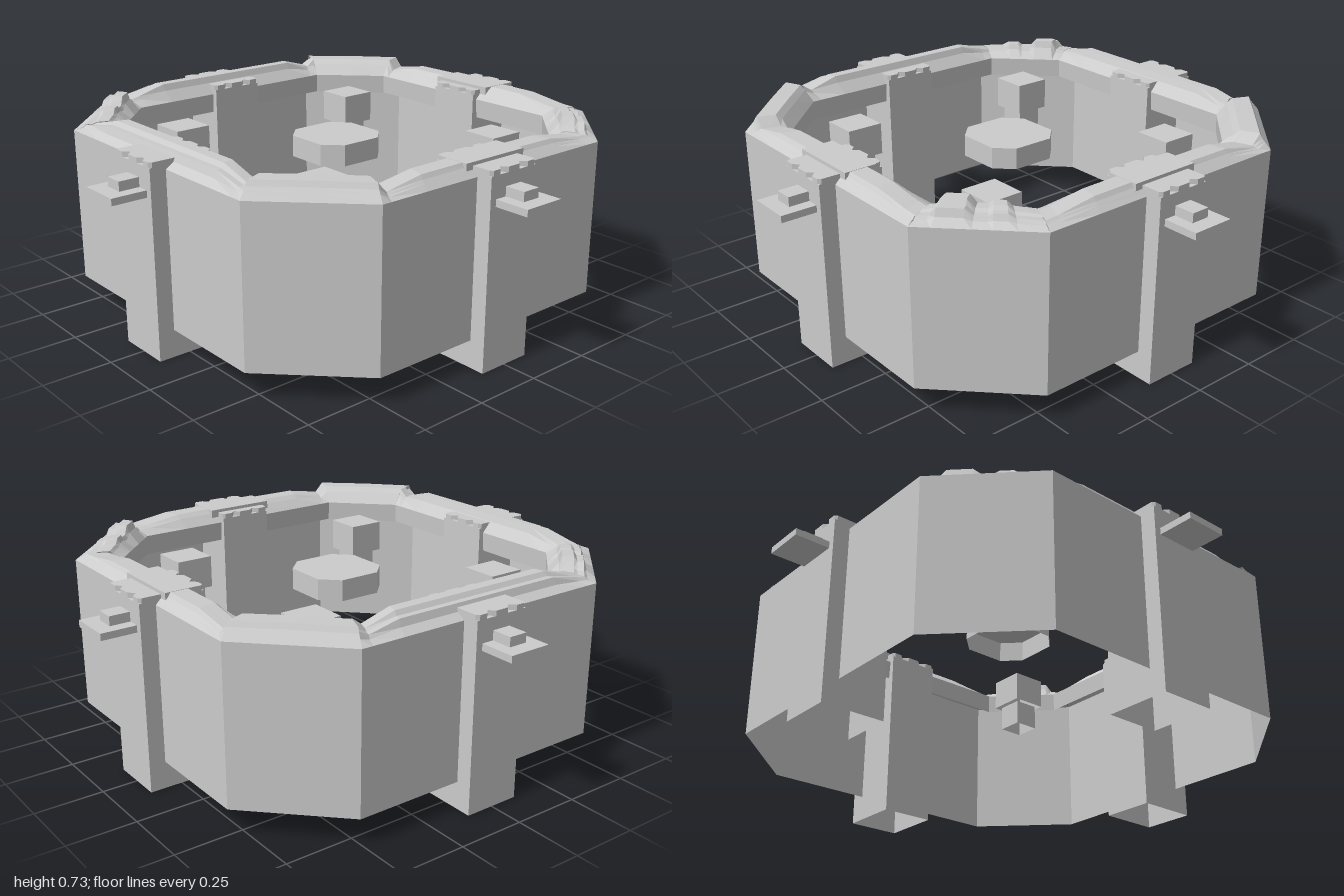
import * as THREE from 'three';

const material = new THREE.MeshStandardMaterial({ color: 0xcccccc, flatShading: true, side: THREE.DoubleSide });

// Octagon corners [x, z], starting at the front edge
const corners = [
  [-0.51, 0.81], [0.51, 0.81], [0.81, 0.51], [0.81, -0.51],
  [0.51, -0.81], [-0.51, -0.81], [-0.81, -0.51], [-0.81, 0.51],
];

// Trim cross-sections: [inset from the wall, height]
const profiles = {
  plain: [[0, 0.67], [0.02, 0.69], [0.03, 0.7], [0.04, 0.715], [0.07, 0.715], [0.105, 0.715], [0.125, 0.7], [0.16, 0.665], [0.155, 0.59]],
  rail: [[0, 0.67], [0.03, 0.69], [0.04, 0.715], [0.063, 0.715], [0.075, 0.73], [0.115, 0.73], [0.125, 0.705], [0.16, 0.665], [0.155, 0.59]],
};

// Trim stations along an edge: [t, height scale]
const sideRun = [[0, 1.2], [0.035, 0.4], [0.18, 0.95], [0.5, 1], [0.8, 0.95], [0.95, 0.5], [1, 0.45]];
const railRun = [[0, 0.9], [0.04, 0.45], [0.16, 1], [0.5, 1], [0.84, 1], [0.96, 0.5], [1, 0.35]];
const raisedRun = [[0, 1.2], [0.5, 1.25], [1, 1.2]];
const bumpRun = [[0, 0.4], [0.1, 0.5], [0.16, 1.08], [0.38, 1.08], [0.45, 0.6], [0.56, 0.6], [0.6, 0.8], [0.72, 0.8], [0.78, 0.5], [1, 0.4]];
const reverse = (run) => run.map(([t, h]) => [1 - t, h]).reverse();

const edges = [
  ['plain', sideRun], ['rail', bumpRun], ['plain', reverse(sideRun)], ['plain', raisedRun],
  ['rail', railRun], ['rail', bumpRun], ['rail', reverse(railRun)], ['plain', raisedRun],
];

function add(parent, geometry, name, x = 0, y = 0, z = 0) {
  const mesh = new THREE.Mesh(geometry, material);
  mesh.name = name;
  mesh.position.set(x, y, z);
  parent.add(mesh);
  return mesh;
}

// Skin a list of equally long rows of points
function loft(rows) {
  const n = rows[0].length, index = [];
  for (let i = 0; i < rows.length - 1; i++) {
    for (let j = 0; j < n - 1; j++) {
      const a = i * n + j, b = a + n;
      index.push(a, b, a + 1, b, b + 1, a + 1);
    }
  }
  const g = new THREE.BufferGeometry();
  g.setAttribute('position', new THREE.Float32BufferAttribute(rows.flat(2), 3));
  g.setIndex(index);
  const flat = g.toNonIndexed();
  flat.computeVertexNormals();
  return flat;
}

// Inward mitre direction at a corner
const mitre = (c) => c.map((v) => -Math.sign(v) * (Math.abs(v) > 0.6 ? 1 : 0.414));

function trimEdge(k) {
  const [kind, run] = edges[k];
  const a = corners[k], b = corners[(k + 1) % 8];
  const ma = mitre(a), mb = mitre(b);
  const mix = THREE.MathUtils.lerp;
  return loft(run.map(([t, h]) => profiles[kind].map(([inset, y]) => [
    mix(a[0], b[0], t) + inset * mix(ma[0], mb[0], t),
    y > 0.67 ? 0.67 + (y - 0.67) * h : y,
    mix(a[1], b[1], t) + inset * mix(ma[1], mb[1], t),
  ])));
}

// Box without its bottom face
function openBox(w, h, d) {
  const g = new THREE.BoxGeometry(w, h, d);
  const index = Array.from(g.index.array);
  index.splice(18, 6);
  g.setIndex(index);
  return g;
}

// Post cap outline with clipped corners and V notches on the short edges
function capGeometry() {
  const w = 0.105, d = 0.12, c = 0.01;
  const edge = [[-w + c, -d], [-0.065, -d], [-0.045, -d + 0.02], [-0.025, -d], [0.025, -d], [0.045, -d + 0.02], [0.065, -d], [w - c, -d], [w, -d + c]];
  const pts = [...edge, ...edge.map(([x, y]) => [-x, -y])].map(([x, y]) => new THREE.Vector2(x, y));
  // remaining clipped corners
  pts.splice(9, 0, new THREE.Vector2(w, d - c));
  pts.push(new THREE.Vector2(-w, -d + c));
  const g = new THREE.ExtrudeGeometry(new THREE.Shape(pts), { depth: 0.018, bevelEnabled: false });
  return g.rotateX(-Math.PI / 2);
}

export function createModel() {
  const model = new THREE.Group();
  model.name = 'octagonalEnclosure';

  // Thin wall and the hollow trim on top of it
  const loop = [...corners, corners[0]];
  add(model, loft(loop.map(([x, z]) => [[x, 0.1, z], [x, 0.67, z]])), 'wall');
  const trim = new THREE.Group();
  trim.name = 'trim';
  model.add(trim);
  edges.forEach((_, k) => add(trim, trimEdge(k), 'trimSection'));

  // Posts with notched caps, collars and outward brackets
  for (let i = 0; i < 4; i++) {
    const post = new THREE.Group();
    post.name = 'post';
    post.rotation.y = i * Math.PI / 2;
    add(post, openBox(0.21, 0.685, 0.24), 'postBody', 0, 0.3425, 0.75);
    add(post, capGeometry(), 'postCap', 0, 0.685, 0.75);
    if (i < 2) add(post, new THREE.BoxGeometry(0.27, 0.04, 0.12), 'collar', 0, 0.695, 0.73);
    add(post, new THREE.BoxGeometry(0.16, 0.025, 0.14), 'bracketPlate', 0, 0.593, 0.93);
    add(post, new THREE.BoxGeometry(0.07, 0.035, 0.08), 'bracketBlock', 0, 0.622, 0.905);
    model.add(post);
  }

  // Floating corner blocks on short stems
  for (const x of [-0.41, 0.41]) {
    for (const z of [-0.41, 0.41]) {
      add(model, openBox(0.14, 0.12, 0.14), 'cornerBlock', x, 0.58, z);
      add(model, openBox(0.1, 0.1, 0.1), 'blockStem', x, 0.47, z);
    }
  }

  // Hollow central plate with clipped corners
  const r = 0.143, c = 0.08;
  const rim = [[c, r], [r, c], [r, -c], [c, -r], [-c, -r], [-r, -c], [-r, c], [-c, r], [c, r]];
  add(model, loft(rim.map(([x, z]) => [[x, 0.54, z], [x, 0.62, z], [0, 0.62, 0]])), 'centrePlate');
  return model;
}
